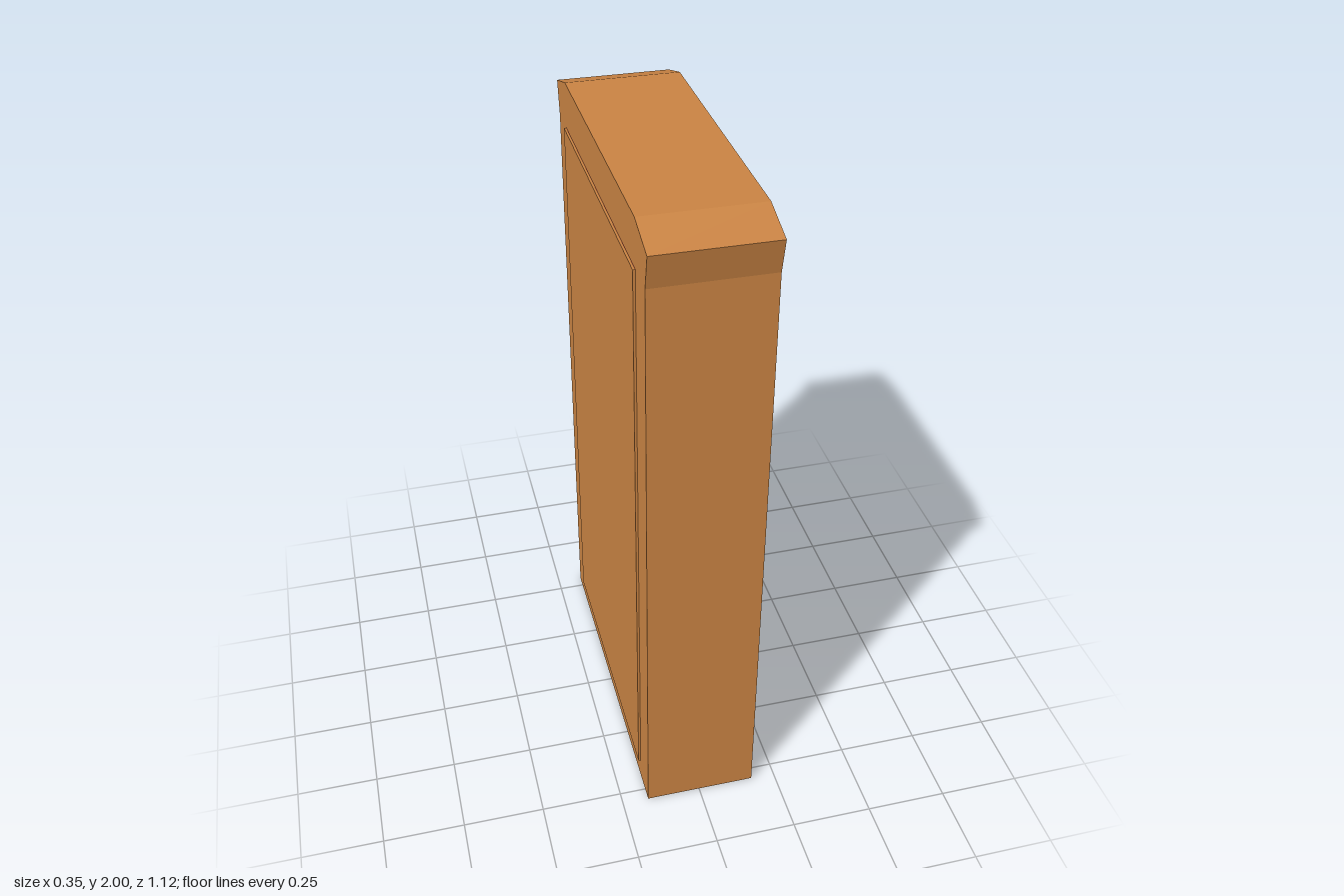
import * as THREE from 'three';

const BACK = -0.168, FRONT = 0.175, HALF = 0.44;

// Each shelf opening: bottom, top, and the positions of its blue books
const SHELVES = [
  [0.07, 0.295, [2, 8]],
  [0.345, 0.605, [3, 4]],
  [0.655, 0.93, [1]],
  [0.98, 1.26, []],
  [1.32, 1.565, [5, 8, 9]],
  [1.61, 1.86, [4, 8]],
];
// How far each book sits behind the front of the case
const RECESS = [0.05, 0.056, 0.046, 0.06, 0.07, 0.052, 0.047, 0.047, 0.062, 0.075, 0.055, 0.05];

export function createModel() {
  const model = new THREE.Group();
  const material = (color) => new THREE.MeshStandardMaterial({ color, flatShading: true });
  const wood = material(0xc98343), red = material(0x92222a), blue = material(0x3e3e80);

  // Box given by its limits on each axis
  const box = (name, mat, x0, x1, y0, y1, z0, z1, parent = model) => {
    const mesh = new THREE.Mesh(new THREE.BoxGeometry(x1 - x0, y1 - y0, z1 - z0), mat);
    mesh.position.set((x0 + x1) / 2, (y0 + y1) / 2, (z0 + z1) / 2);
    mesh.name = name;
    parent.add(mesh);
  };

  // Case with flared, bevelled crown and six openings
  const half = [[0.54, 0], [0.54, 1.86], [0.562, 1.96], [0.435, 2]];
  const outline = [...half, ...half.map(([z, y]) => [-z, y]).reverse()];
  const shape = new THREE.Shape(outline.map(([z, y]) => new THREE.Vector2(z, y)));
  for (const [y0, y1] of SHELVES) {
    shape.holes.push(new THREE.Path([
      new THREE.Vector2(-HALF, y0), new THREE.Vector2(-HALF, y1),
      new THREE.Vector2(HALF, y1), new THREE.Vector2(HALF, y0),
    ]));
  }
  const geometry = new THREE.ExtrudeGeometry(shape, { depth: FRONT - BACK, bevelEnabled: false });
  geometry.rotateY(Math.PI / 2).translate(BACK, 0, 0);
  const bookcase = new THREE.Mesh(geometry, wood);
  bookcase.name = 'case';
  model.add(bookcase);

  // Raised panel closing the back
  box('backPanel', wood, -0.175, BACK + 0.004, 0.07, 1.86, -HALF, HALF);

  // Red lining under the crown
  box('topLining', red, BACK, FRONT - 0.002, 1.857, 1.862, -HALF, HALF);

  // Rows of books with uneven fronts
  const width = 2 * HALF / RECESS.length;
  SHELVES.forEach(([y0, y1, blues], row) => {
    const books = new THREE.Group();
    books.name = `bookRow${row + 1}`;
    RECESS.forEach((recess, i) => {
      const z1 = HALF - i * width;
      box('book', blues.includes(i) ? blue : red, BACK + 0.004, FRONT - recess, y0, y1, z1 - width, z1, books);
    });
    model.add(books);
  });
  return model;
}
